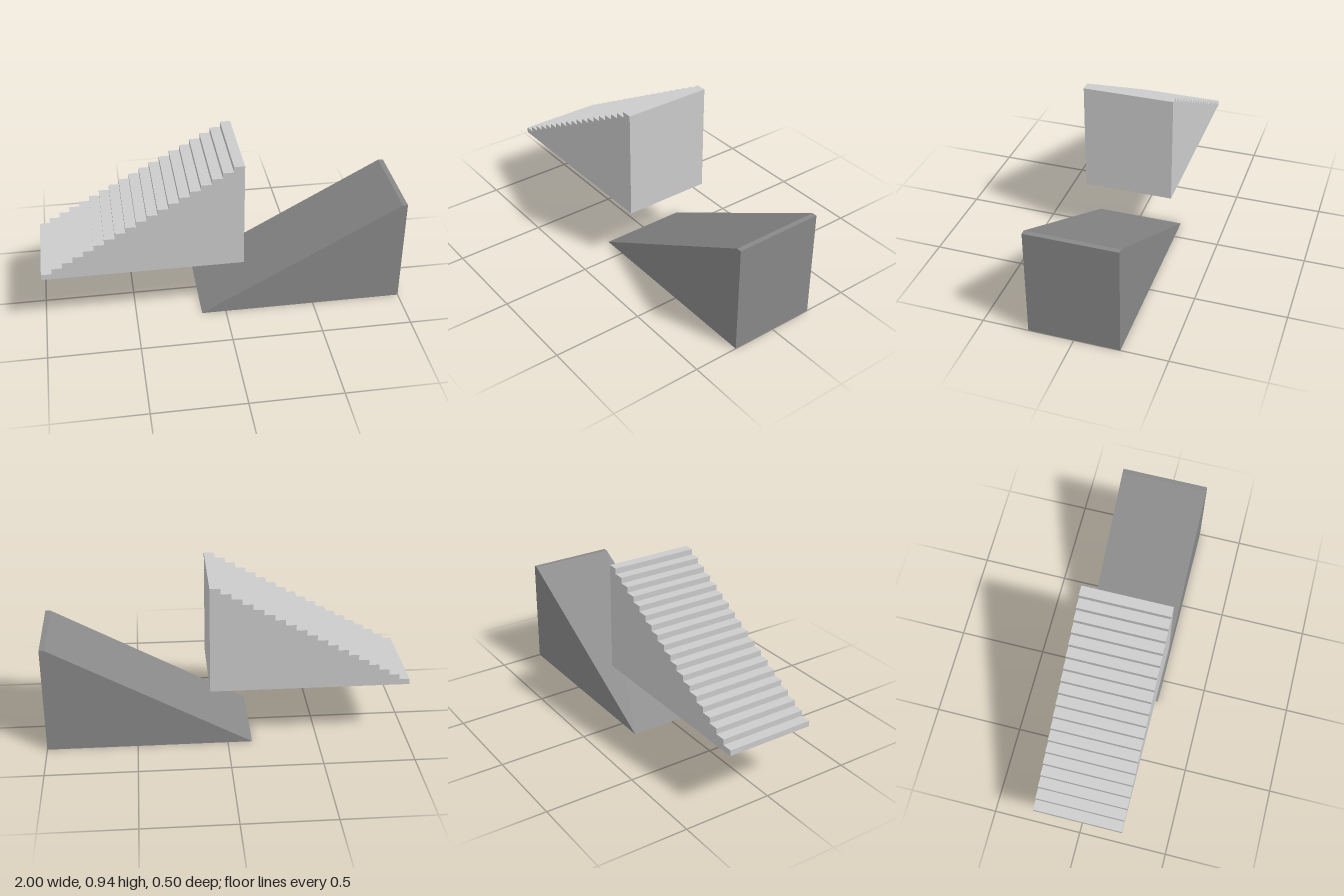
import * as THREE from 'three';

const DEPTH = 0.496;

// Extrudes a side profile (x, y points) across the full width, centred on z
function profileMesh(name, points, color) {
  const shape = new THREE.Shape(points.map(([x, y]) => new THREE.Vector2(x, y)));
  const geometry = new THREE.ExtrudeGeometry(shape, { depth: DEPTH, bevelEnabled: false });
  geometry.translate(0, 0, -DEPTH / 2);
  const mesh = new THREE.Mesh(geometry, new THREE.MeshStandardMaterial({ color, flatShading: true }));
  mesh.name = name;
  return mesh;
}

export function createModel() {
  const model = new THREE.Group();
  model.name = 'stairsAndRamp';

  // Solid staircase rising towards +x
  const steps = 19, x0 = -1, x1 = 0.098, y0 = 0.33, y1 = 0.94;
  const run = (x1 - x0) / steps, rise = (y1 - y0) / steps;
  const stairs = [[x1, y0], [x1, y1]];
  for (let i = steps; i > 0; i--) {
    stairs.push([x0 + (i - 1) * run, y0 + i * rise]);
    stairs.push([x0 + (i - 1) * run, y0 + (i - 1) * rise]);
  }
  model.add(profileMesh('staircase', stairs, 0xcccccc));

  // Smooth wedge ramp with a narrow flat top
  const ramp = [[-0.135, 0], [1, 0], [1, 0.614], [0.972, 0.614]];
  model.add(profileMesh('ramp', ramp, 0x888888));

  return model;
}
